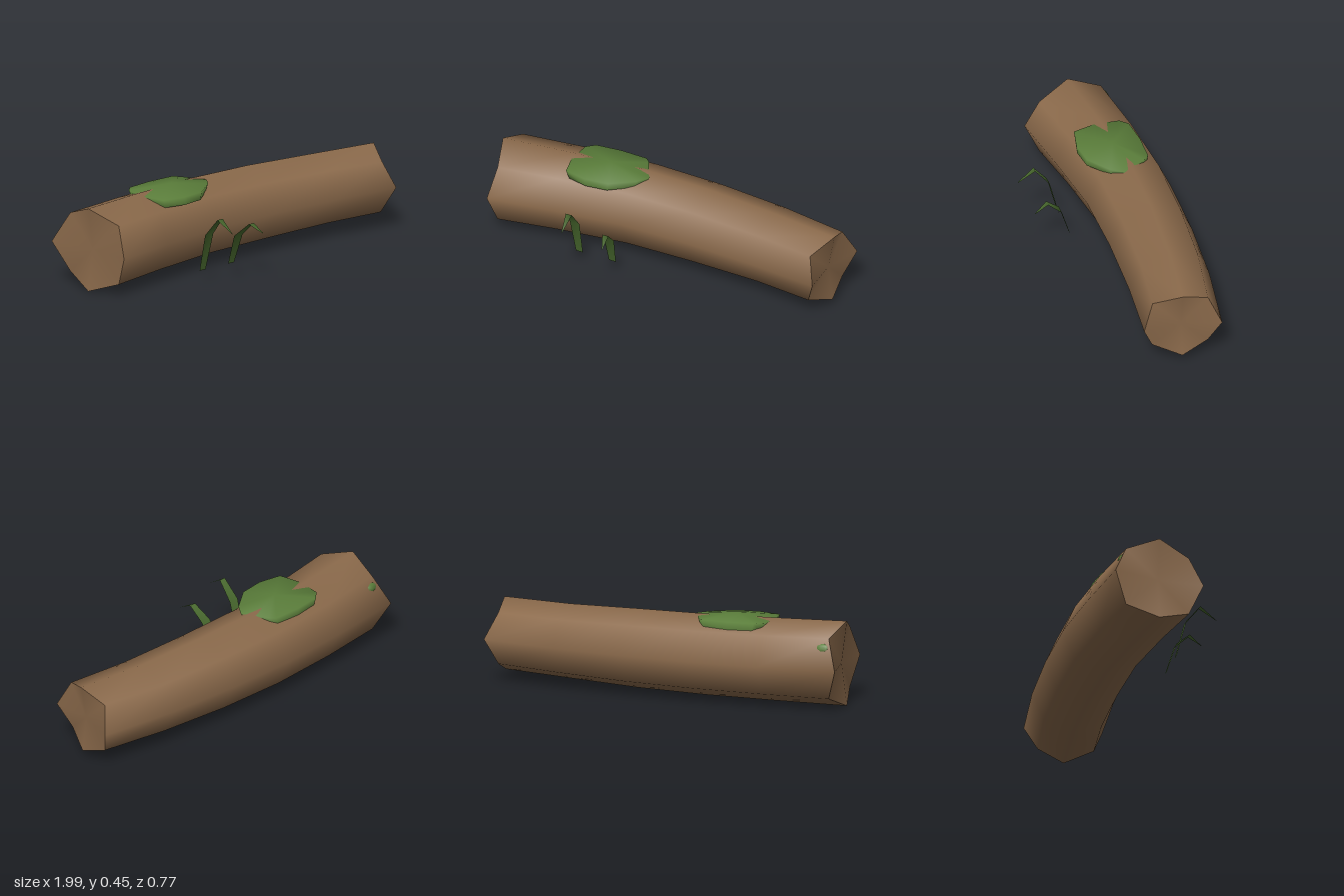
import * as THREE from 'three';

const bark = new THREE.MeshStandardMaterial({ color: 0x8b6a4b });
bark.name = 'bark brown';
const moss = new THREE.MeshStandardMaterial({ color: 0x5a7d3a });
moss.name = 'moss green';
const leaf = new THREE.MeshStandardMaterial({ color: 0x4a6b2f, side: THREE.DoubleSide });
leaf.name = 'leaf green';

function surface(points, index) {
  const g = new THREE.BufferGeometry();
  g.setAttribute('position', new THREE.Float32BufferAttribute(points.flat(), 3));
  g.setIndex(index);
  g.computeVertexNormals();
  return g;
}

function part(name, geometry, material) {
  const m = new THREE.Mesh(geometry, material);
  m.name = name;
  return m;
}

const SIDES = 8;
// Ragged x positions of the two broken ends, starting at the front and going over the top
const leftEnd = [-0.925, -0.9, -0.96, -0.935, -1, -0.935, -0.96, -0.9];
const rightEnd = [0.945, 0.9, 0.965, 0.935, 0.99, 0.935, 0.955, 0.89];

// One eight-sided section: x may be a number or a list with one value per corner
function ring(x, cy, cz, ry, rz) {
  return Array.from({ length: SIDES }, (_, k) => {
    const a = (k / SIDES) * Math.PI * 2;
    return [Array.isArray(x) ? x[k] : x, cy + ry * Math.sin(a), cz + rz * Math.cos(a)];
  });
}

function createLog() {
  const log = new THREE.Group();
  log.name = 'log';
  const rings = [
    ring(leftEnd, 0.225, -0.07, 0.222, 0.243),
    ring(-0.58, 0.226, -0.12, 0.217, 0.239),
    ring(-0.2, 0.227, -0.157, 0.212, 0.228),
    ring(0.18, 0.227, -0.153, 0.207, 0.223),
    ring(0.57, 0.227, -0.127, 0.195, 0.217),
    ring(rightEnd, 0.228, -0.075, 0.19, 0.203),
  ];
  const index = [];
  for (let i = 0; i < rings.length - 1; i++) {
    for (let k = 0; k < SIDES; k++) {
      const a = i * SIDES + k, b = i * SIDES + ((k + 1) % SIDES);
      index.push(a, a + SIDES, b + SIDES, a, b + SIDES, b);
    }
  }
  log.add(part('bark', surface(rings.flat(), index), bark));

  // Broken end faces, fanned from the core
  const endFace = (name, points, core, flip) => {
    const fan = [];
    for (let k = 0; k < SIDES; k++) {
      const n = (k + 1) % SIDES;
      fan.push(SIDES, ...(flip ? [k, n] : [n, k]));
    }
    log.add(part(name, surface([...points, core], fan), bark));
  };
  endFace('leftBrokenEnd', rings[0], [-0.93, 0.225, -0.07], true);
  endFace('rightBrokenEnd', rings[5], [0.93, 0.228, -0.075], false);
  return log;
}

// Low mossy dome through which the ridge of the log shows
function createMossPatch() {
  const outline = [
    [-0.13, -0.11], [-0.17, -0.05], [-0.29, 0.04], [-0.42, 0.055], [-0.54, 0.03], [-0.57, -0.09],
    [-0.56, -0.22], [-0.52, -0.26], [-0.38, -0.275], [-0.23, -0.27], [-0.2, -0.24], [-0.17, -0.18],
  ];
  const n = outline.length, cx = -0.36, cz = -0.12;
  const rim = outline.map(([x, z]) => [x, 0.43, z]);
  const base = outline.map(([x, z]) => [cx + (x - cx) * 0.9, 0.388, cz + (z - cz) * 0.99]);
  const index = [];
  for (let a = 0; a < n; a++) {
    const b = (a + 1) % n;
    index.push(2 * n, b, a, a, b, a + n, b, b + n, a + n);
  }
  return part('mossPatch', surface([...rim, ...base, [cx, 0.455, cz]], index), moss);
}

// Bent leaf blade: rows of [left x, right x, y, z], narrowing to a tip
function createBlade(name, rows) {
  const points = rows.flatMap(([l, r, y, z]) => [[l, y, z], [r, y, z]]);
  const index = [];
  for (let i = 0; i < rows.length - 1; i++) {
    const a = i * 2;
    index.push(a, a + 1, a + 3, a, a + 3, a + 2);
  }
  return part(name, surface(points, index), leaf);
}

export function createModel() {
  const model = new THREE.Group();
  model.name = 'mossyLog';
  model.add(createLog(), createMossPatch());

  // Small moss spot on the back near one end
  const spot = part('mossSpot', new THREE.SphereGeometry(1, 8, 5), moss);
  spot.scale.set(0.04, 0.025, 0.014);
  spot.rotation.x = 0.45;
  spot.position.set(-0.905, 0.335, -0.26);
  model.add(spot);

  model.add(
    createBlade('tallLeaf', [
      [-0.41, -0.37, 0.06, 0.165], [-0.417, -0.362, 0.263, 0.217],
      [-0.4, -0.365, 0.36, 0.295], [-0.378, -0.374, 0.3, 0.385],
    ]),
    createBlade('shortLeaf', [
      [-0.218, -0.178, 0.06, 0.165], [-0.22, -0.163, 0.22, 0.215],
      [-0.188, -0.153, 0.295, 0.293], [-0.154, -0.15, 0.255, 0.365],
    ]),
  );
  return model;
}
